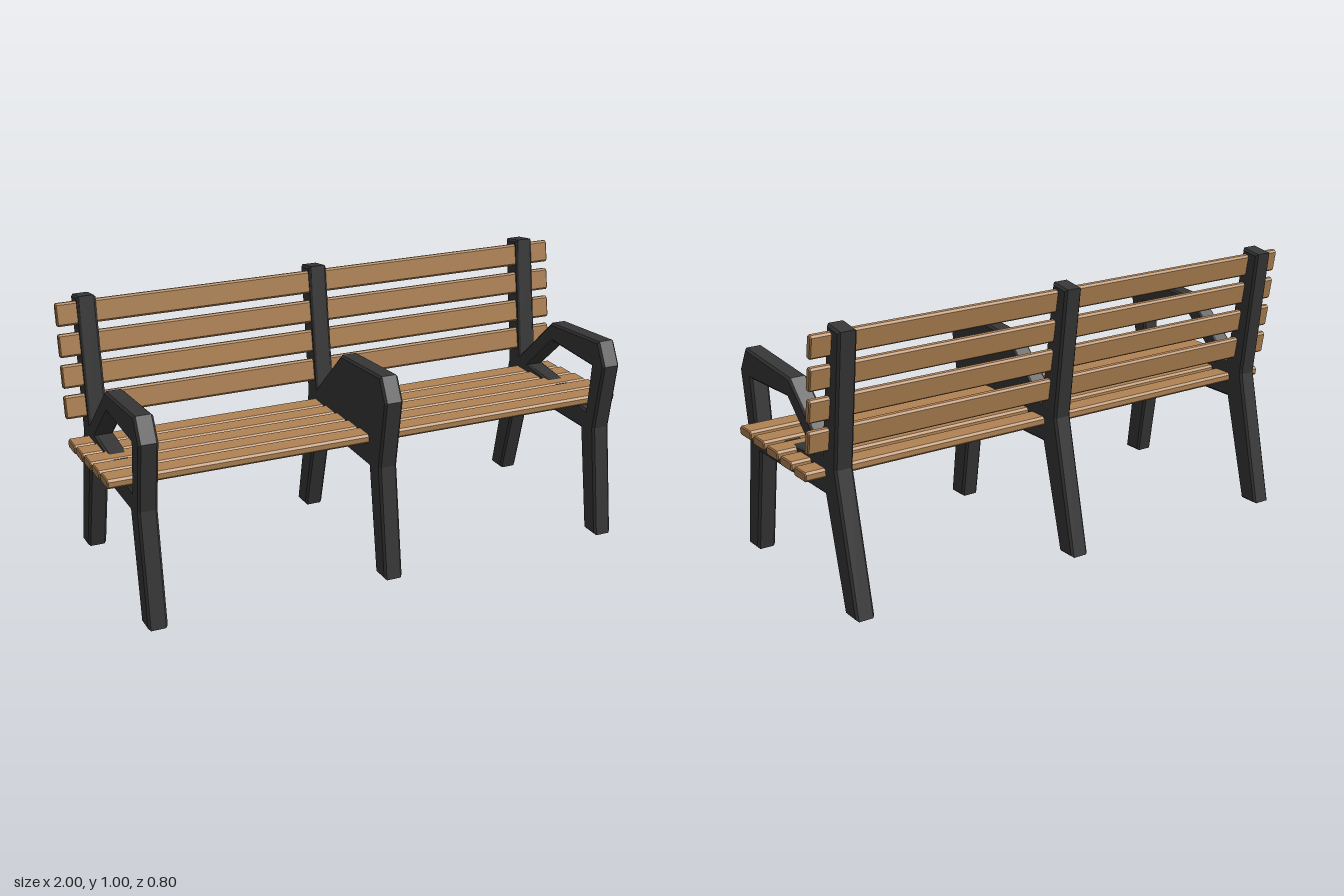
import * as THREE from 'three';

const wood = new THREE.MeshStandardMaterial({ color: 0xb08353 });
wood.name = 'wood';
const iron = new THREE.MeshStandardMaterial({ color: 0x373737 });
iron.name = 'dark iron';

const points = (list) => list.map(([z, y]) => new THREE.Vector2(z, y));

// Extrudes a (z, y) profile along x, centred, with a chamfer kept inside the outline
function extrudeAlongX(shape, width, bevel) {
  const geometry = new THREE.ExtrudeGeometry(shape, {
    depth: width - 2 * bevel,
    bevelEnabled: true,
    bevelThickness: bevel,
    bevelSize: bevel,
    bevelOffset: -bevel,
    bevelSegments: 1,
  });
  geometry.translate(0, 0, bevel - width / 2);
  geometry.rotateY(-Math.PI / 2);
  return geometry;
}

// Side frame: legs, armrest and back post in one outline
function frameGeometry(open) {
  const shape = new THREE.Shape(points([
    [0.40, 0], [0.345, 0.42], [0.39, 0.677], [0.344, 0.763], [0.015, 0.738],
    [-0.203, 0.538], [-0.265, 0.997], [-0.346, 0.985], [-0.287, 0.50],
    [-0.40, 0], [-0.32, 0], [-0.213, 0.395], [0.26, 0.395], [0.321, 0],
  ]));
  if (open) {
    shape.holes.push(new THREE.Path(points([
      [0.307, 0.658], [0.033, 0.668], [-0.138, 0.518], [0.287, 0.475],
    ])));
  }
  return extrudeAlongX(shape, 0.07, 0.008);
}

// Slat: board with chamfered long edges and ends
function slatGeometry(w, h, c) {
  const x = w / 2, y = h / 2;
  const shape = new THREE.Shape(points([
    [x - c, -y], [x, c - y], [x, y - c], [x - c, y],
    [c - x, y], [-x, y - c], [-x, c - y], [c - x, -y],
  ]));
  return extrudeAlongX(shape, 2, 0.004);
}

export function createModel() {
  const bench = new THREE.Group();
  bench.name = 'bench';

  const add = (name, geometry, material, x, y, z, tilt = 0) => {
    const mesh = new THREE.Mesh(geometry, material);
    mesh.name = name;
    mesh.position.set(x, y, z);
    mesh.rotation.x = tilt;
    bench.add(mesh);
  };

  // Open frames at the ends, solid frame in the middle
  const endFrame = frameGeometry(true);
  add('rightFrame', endFrame, iron, -0.89, 0, 0);
  add('leftFrame', endFrame, iron, 0.89, 0, 0);
  add('middleFrame', frameGeometry(false), iron, 0, 0, 0);

  // Seat slats step down towards the back
  const seatSlat = slatGeometry(0.084, 0.034, 0.008);
  for (let i = 0; i < 5; i++) {
    add(`seatSlat${i + 1}`, seatSlat, wood, 0, 0.4985 - i * 0.0065, 0.217 - i * 0.0995);
  }

  // Back slats lean with the posts
  const backSlat = slatGeometry(0.026, 0.084, 0.007);
  for (let i = 0; i < 4; i++) {
    add(`backSlat${i + 1}`, backSlat, wood, 0, 0.6 + i * 0.1115, -0.241 - i * 0.0133, -0.17);
  }

  return bench;
}
